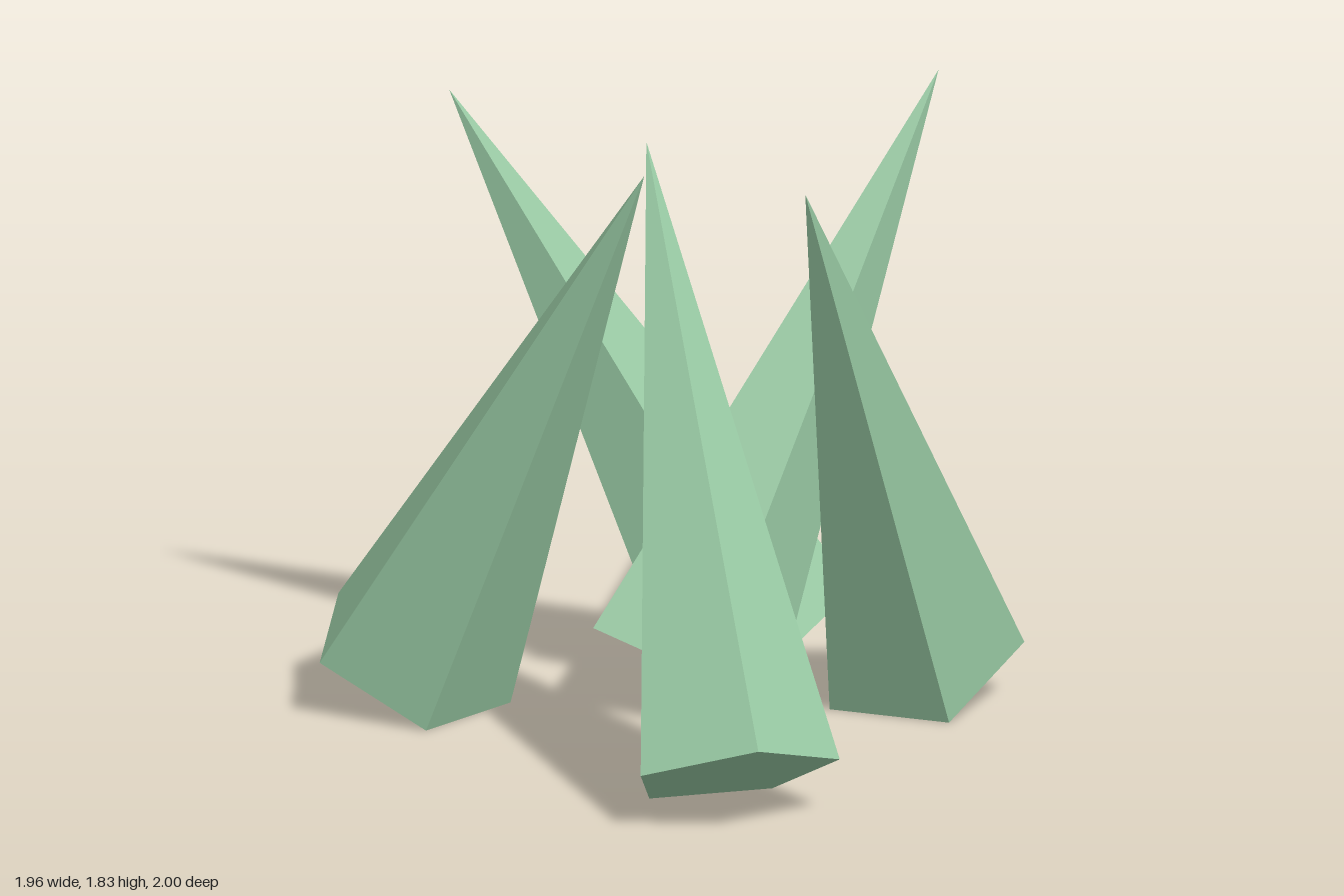
import * as THREE from 'three';

const RADIUS = 0.325, HEIGHT = 1.94, TILT = 0.5, TIP_Y = 1.83;

// Tip position (x, z) and the heading in degrees, from +x towards +z, of each spike's base
const SPIKES = [
  [0.03, 0.0, 53],
  [0.58, -1.0, 127],
  [0.15, 0.33, 200.3],
  [0.665, 0.33, 270],
  [-0.71, -0.285, 339.5],
];

export function createModel() {
  const model = new THREE.Group();
  model.name = 'spikeCluster';
  const paleGreen = new THREE.MeshStandardMaterial({ color: 0x98c9a3, flatShading: true });
  paleGreen.name = 'paleGreen';

  // Five-sided spike with its tip at the origin, base swung out towards +x, one corner uppermost
  const spike = new THREE.ConeGeometry(RADIUS, HEIGHT, 5, 1, false, Math.PI / 2)
    .translate(0, -HEIGHT / 2, 0)
    .rotateZ(TILT);

  // Ring of leaning spikes
  SPIKES.forEach(([x, z, heading], i) => {
    const mesh = new THREE.Mesh(spike, paleGreen);
    mesh.name = `spike${i + 1}`;
    mesh.position.set(x, TIP_Y, z);
    mesh.rotation.y = -THREE.MathUtils.degToRad(heading);
    model.add(mesh);
  });
  return model;
}
